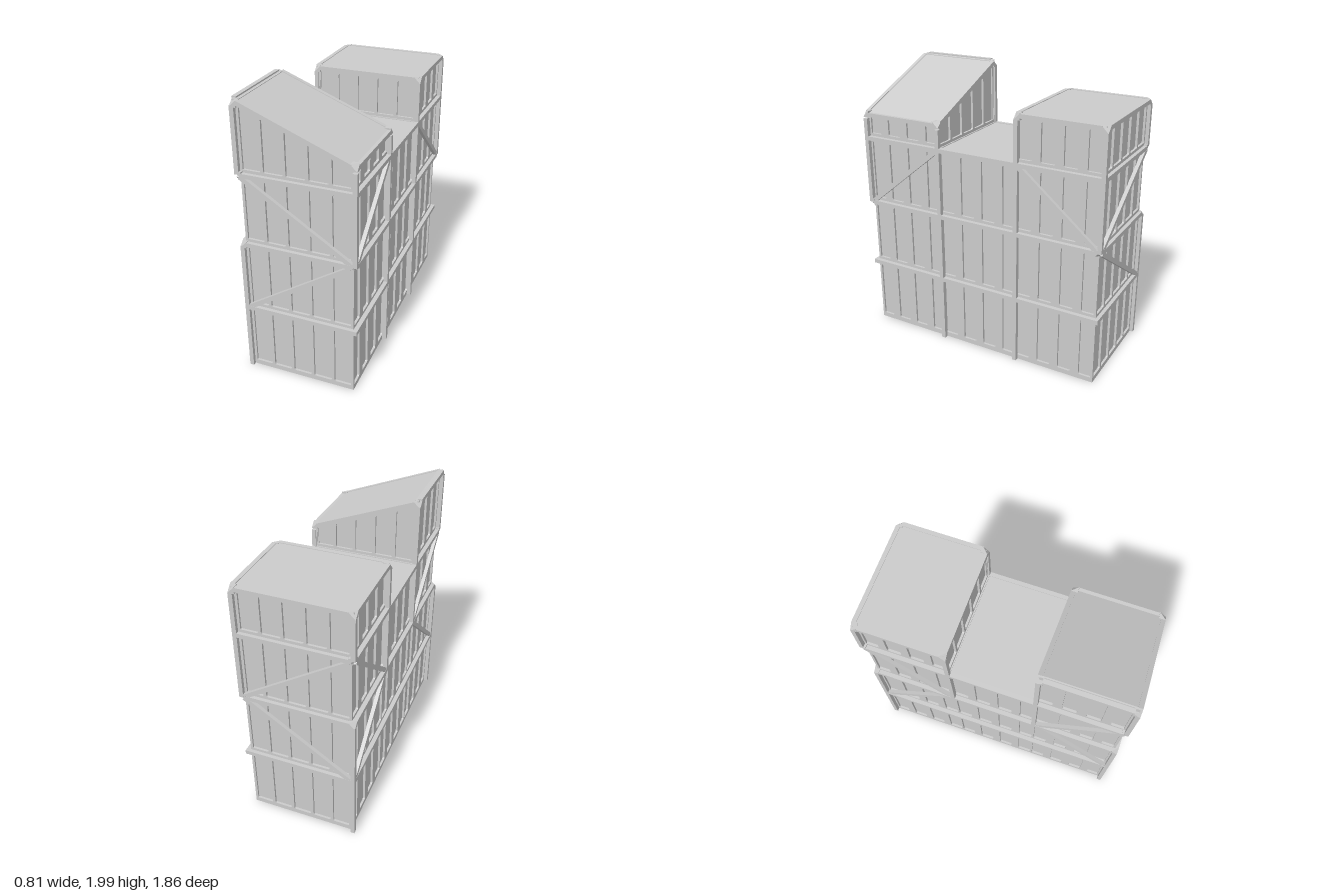
import * as THREE from 'three';
import { ConvexGeometry } from 'three/addons/geometries/ConvexGeometry.js';

const X = 0.39, Z = 0.915, I = 0.305;      // centre lines of the outer and inner frame
const WX = 0.375, WZ = 0.905;              // outer faces of the walls
const B = 0.03, T = 0.018;                 // beam and wall thickness
const ROWS = [0, 0.5, 1.0, 1.495];
const slopeTop = x => 2 - 0.395 * (x + 0.405);
const flatTop = () => 1.84;

export function createModel() {
  const group = new THREE.Group();
  const mat = new THREE.MeshStandardMaterial({ color: 0xcccccc, flatShading: true, side: THREE.DoubleSide });

  const add = (parent, name, geo) => {
    const m = new THREE.Mesh(geo, mat);
    m.name = name;
    parent.add(m);
    return m;
  };

  // Square beam between two points
  function bar(name, a, b, w = B, d = B) {
    const p = new THREE.Vector3(...a), q = new THREE.Vector3(...b);
    const m = add(group, name, new THREE.BoxGeometry(w, d, p.distanceTo(q)));
    m.position.copy(p).lerp(q, 0.5);
    m.lookAt(q);
  }

  // Corner block with its outer corner cut off; (x, y, z) is that corner
  function node(x, y, z, sx, sy, sz) {
    const s = 0.045, pts = [];
    for (let k = 1; k < 8; k++) {
      pts.push(new THREE.Vector3(x - sx * s * (k & 1), y - sy * s * ((k >> 1) & 1), z - sz * s * (k >> 2)));
    }
    add(group, 'cornerBlock', new ConvexGeometry(pts));
  }

  // Closed outline with rounded corners
  function rounded(path, pts, r) {
    pts.forEach((p, i) => {
      const prev = pts[(i + pts.length - 1) % pts.length], next = pts[(i + 1) % pts.length];
      const toward = q => p.clone().add(q.clone().sub(p).setLength(r));
      const a = toward(prev), b = toward(next);
      if (i) path.lineTo(a.x, a.y); else path.moveTo(a.x, a.y);
      path.quadraticCurveTo(p.x, p.y, b.x, b.y);
    });
    path.closePath();
    return path;
  }

  // Wall section with a row of sunk panels, facing +z before it is turned
  function wall(name, pos, turn, u0, u1, v0, top, n, gap, topMargin = 0.03) {
    const outline = () => new THREE.Shape([[u0, v0], [u1, v0], [u1, top(u1) - 0.008], [u0, top(u0) - 0.008]]
      .map(p => new THREE.Vector2(...p)));
    const face = outline(), a = u0 + 0.007, w = (u1 - u0 - 0.014 - gap * (n - 1)) / n;
    for (let i = 0; i < n; i++) {
      const l = a + i * (w + gap), r = l + w;
      face.holes.push(rounded(new THREE.Path(), [
        new THREE.Vector2(l, v0 + 0.035), new THREE.Vector2(r, v0 + 0.035),
        new THREE.Vector2(r, top(r) - topMargin), new THREE.Vector2(l, top(l) - topMargin)], 0.012));
    }
    const section = new THREE.Group();
    section.name = name;
    add(section, 'ribs', new THREE.ExtrudeGeometry(face, { depth: T, bevelEnabled: false, curveSegments: 3 })).position.z = -T;
    add(section, 'panelBacking', new THREE.ShapeGeometry(outline())).position.z = 0.002 - T;
    section.position.set(...pos);
    section.rotation.y = turn;
    group.add(section);
  }

  // End walls and long walls, storey by storey
  for (const s of [1, -1]) {
    const turn = s > 0 ? 0 : Math.PI;
    const roof = s > 0 ? slopeTop : flatTop;
    ROWS.forEach((v, i) => {
      const last = i === 3;
      const top = last ? roof : () => ROWS[i + 1];
      wall(s > 0 ? 'frontWall' : 'backWall', [0, 0, s * WZ], turn, -WX, WX, v, top, 5, 0.02, last ? 0.042 : 0.03);
      for (const sx of [1, -1]) {
        // the long wall runs through three bays, the top storey only through the towers
        const sideTop = last ? () => roof(sx * WX) : top;
        const bay = s * sx > 0 ? [-WZ, -I] : [I, WZ];
        wall('sideWall', [sx * WX, 0, 0], sx * Math.PI / 2, ...bay, v, sideTop, 4, 0.06, last ? 0.042 : 0.03);
        if (!last && s > 0) wall('middleSideWall', [sx * WX, 0, 0], sx * Math.PI / 2, -I, I, v, top, 4, 0.06);
      }
    });
    // tower wall facing the deck; it is turned, so the slope is mirrored
    const inner = s > 0 ? u => slopeTop(-u) : flatTop;
    wall('towerInnerWall', [0, 0, s * 0.3], s > 0 ? Math.PI : 0, -WX, WX, 1.495, inner, 5, 0.02, 0.042);
  }

  // Roof sheets
  function roofSheet(name, z0, z1, yL, yR) {
    const m = add(group, name, new THREE.BoxGeometry(Math.hypot(2 * X, yR - yL), 0.01, z1 - z0));
    m.position.set(0, (yL + yR) / 2 - 0.01, (z0 + z1) / 2);
    m.rotation.z = Math.atan2(yR - yL, 2 * X);
  }
  roofSheet('slopedRoof', I, Z, slopeTop(-X), slopeTop(X));
  roofSheet('flatRoof', -Z, -I, 1.84, 1.84);
  roofSheet('middleDeck', -I, I, 1.51, 1.51);

  // Horizontal beam rings
  for (const y of ROWS.slice(1)) {
    const cutL = y > 0.6 ? X - 0.03 : X + 0.015;
    const cutR = y > 0.6 && y < 1.2 ? X - 0.03 : X + 0.015;
    for (const s of [1, -1]) {
      bar('endBeam', [-cutL, y, s * Z], [cutR, y, s * Z]);
      const e = (s > 0 ? cutR : cutL) - X + Z;
      bar('sideBeam', [s * X, y, -e], [s * X, y, e]);
    }
  }

  for (const s of [1, -1]) {
    const roof = s > 0 ? slopeTop : flatTop;
    const under = x => roof(x) - 0.016;

    // Posts: corner posts step inward where braces carry the load
    bar('cornerPost', [-X, 0, s * Z], [-X, 0.985, s * Z]);
    bar('cornerPost', [-X, 1.5, s * Z], [-X, roof(-X) - 0.045, s * Z]);
    bar('cornerPost', [X, 1.0, s * Z], [X, roof(X) - 0.045, s * Z]);
    bar('innerPost', [-X, 0.985, s * I], [-X, roof(-X) - 0.045, s * I]);
    bar('innerPost', [X, 0, s * I], [X, roof(X) - 0.045, s * I]);

    // Roof edge beams and the beam beside the deck
    const k = X - 0.025;
    for (const z of [I, Z]) bar('roofEndBeam', [-k, under(-k), s * z], [k, under(k), s * z]);
    for (const sx of [1, -1]) {
      bar('roofSideBeam', [sx * X, under(sx * X), s * (I + 0.025)], [sx * X, under(sx * X), s * (Z - 0.025)]);
      const y = roof(sx * (X - 0.03));
      node(sx * 0.405, y, s * 0.93, sx, 1, s);
      node(sx * 0.405, y, s * 0.29, sx, 1, -s);
    }
    bar('deckEdgeBeam', [-X, 1.495, s * I], [X, 1.495, s * I]);

    // Cut joints where a corner post begins or ends
    node(0.405, 0.98, s * 0.93, 1, -1, s);
    node(-0.405, 1.02, s * 0.93, -1, 1, s);
    node(-0.405, 1.475, s * 0.93, -1, -1, s);

    // Diagonal braces
    const brace = (a, b) => bar('diagonalBrace', a, b, 0.026, 0.032);
    const x = X - 0.015, zo = s * (Z - 0.015), zi = s * (I + 0.015), ze = s * 0.916;
    brace([x, 0.995, ze], [-x, 0.505, ze]);
    brace([x, 1.005, ze], [-x, 1.485, ze]);
    brace([X, 1.005, zo], [X, 1.485, zi]);
    brace([-X, 1.485, zo], [-X, 1.005, zi]);
    brace([-X, 0.505, zo], [-X, 0.995, zi]);
  }
  return group;
}
